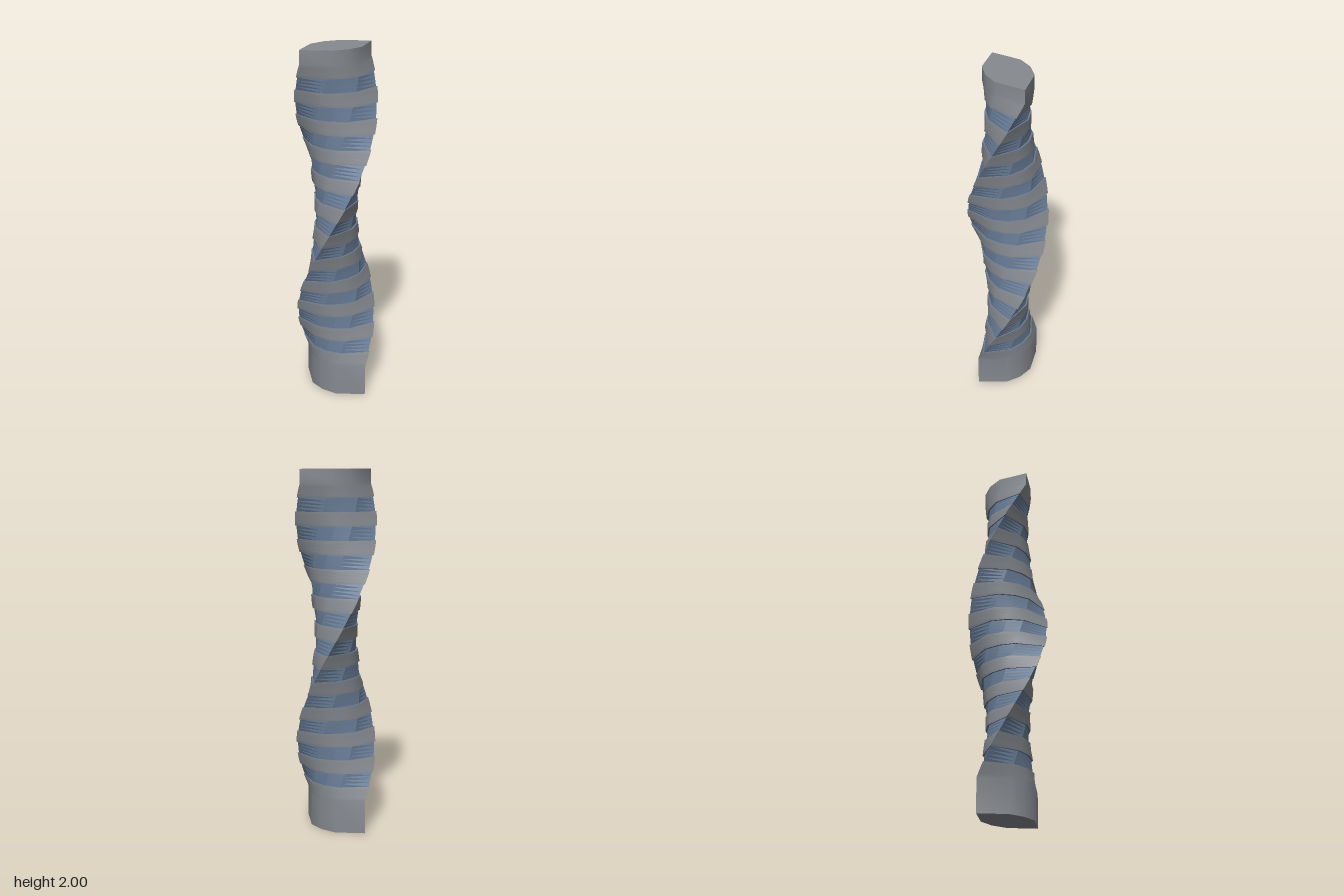
import * as THREE from 'three';
import { toCreasedNormals } from 'three/addons/utils/BufferGeometryUtils.js';

const STEP = 0.0757;            // floor band height
const TWIST_START = 0.185;      // straight plinth below this height
const BANDS = 23;
const TWIST_END = TWIST_START + BANDS * STEP;
const TOTAL_TWIST = THREE.MathUtils.degToRad(254);
const FULL = [1, 1];            // plan scale along and across the long axis
const INSET = [0.965, 0.92];

// Pointed plan, counter-clockwise: [along long axis, across]
const HALF = [[0.222, 0], [0.092, 0.104], [0, 0.12], [-0.092, 0.104]];
const PLAN = [...HALF, ...HALF.map(([u, v]) => [-u, -v])];

function twistAt(y) {
  return TOTAL_TWIST * THREE.MathUtils.clamp((y - TWIST_START) / (TWIST_END - TWIST_START), 0, 1);
}

// Rings for one twisting storey, in small steps so the sides stay smooth
function storey(y, scale) {
  return [0, 0.25, 0.5, 0.75, 1].map((t) => [y + t * STEP, scale]);
}

// Skin through the plan turned at each ring; optional end caps
function twistedSkin(rings, crease, capBottom, capTop) {
  const n = PLAN.length;
  const pos = [];
  const idx = [];
  for (const [y, [su, sv]] of rings) {
    const s = Math.sin(twistAt(y));
    const c = Math.cos(twistAt(y));
    for (const [u, v] of PLAN) pos.push(u * su * s + v * sv * c, y, u * su * c - v * sv * s);
  }
  for (let k = 0; k < rings.length - 1; k++) {
    for (let i = 0; i < n; i++) {
      const a = k * n + i;
      const b = k * n + (i + 1) % n;
      idx.push(a, b, a + n, b, b + n, a + n);
    }
  }
  const top = (rings.length - 1) * n;
  for (let i = 1; i < n - 1; i++) {
    if (capBottom) idx.push(0, i + 1, i);
    if (capTop) idx.push(top, top + i, top + i + 1);
  }
  const g = new THREE.BufferGeometry();
  g.setAttribute('position', new THREE.Float32BufferAttribute(pos, 3));
  g.setIndex(idx);
  return toCreasedNormals(g, crease);
}

export function createModel() {
  const group = new THREE.Group();
  group.name = 'twistedTower';
  const grey = new THREE.MeshStandardMaterial({ color: 0x868a90 });
  const blue = new THREE.MeshStandardMaterial({ color: 0x687c96 });

  const add = (name, geometry, material) => {
    const mesh = new THREE.Mesh(geometry, material);
    mesh.name = name;
    group.add(mesh);
  };

  // Plinth and crown: straight ends that run into the first and last storey
  add('base', twistedSkin([[0, FULL], ...storey(TWIST_START, FULL)], 0.6, true, false), grey);
  add('crown', twistedSkin([...storey(TWIST_END - STEP, FULL), [2, FULL]], 0.6, false, true), grey);

  // Alternating window bands, recessed between ledges, and solid floor bands
  for (let i = 1; i < BANDS - 1; i++) {
    const y = TWIST_START + i * STEP;
    if (i % 2 === 1) {
      const rings = [[y, FULL], ...storey(y, INSET), [y + STEP, FULL]];
      add('windowBand' + i, twistedSkin(rings, 0.3, false, false), blue);
    } else {
      add('floorBand' + i, twistedSkin(storey(y, FULL), 0.6, false, false), grey);
    }
  }
  return group;
}
